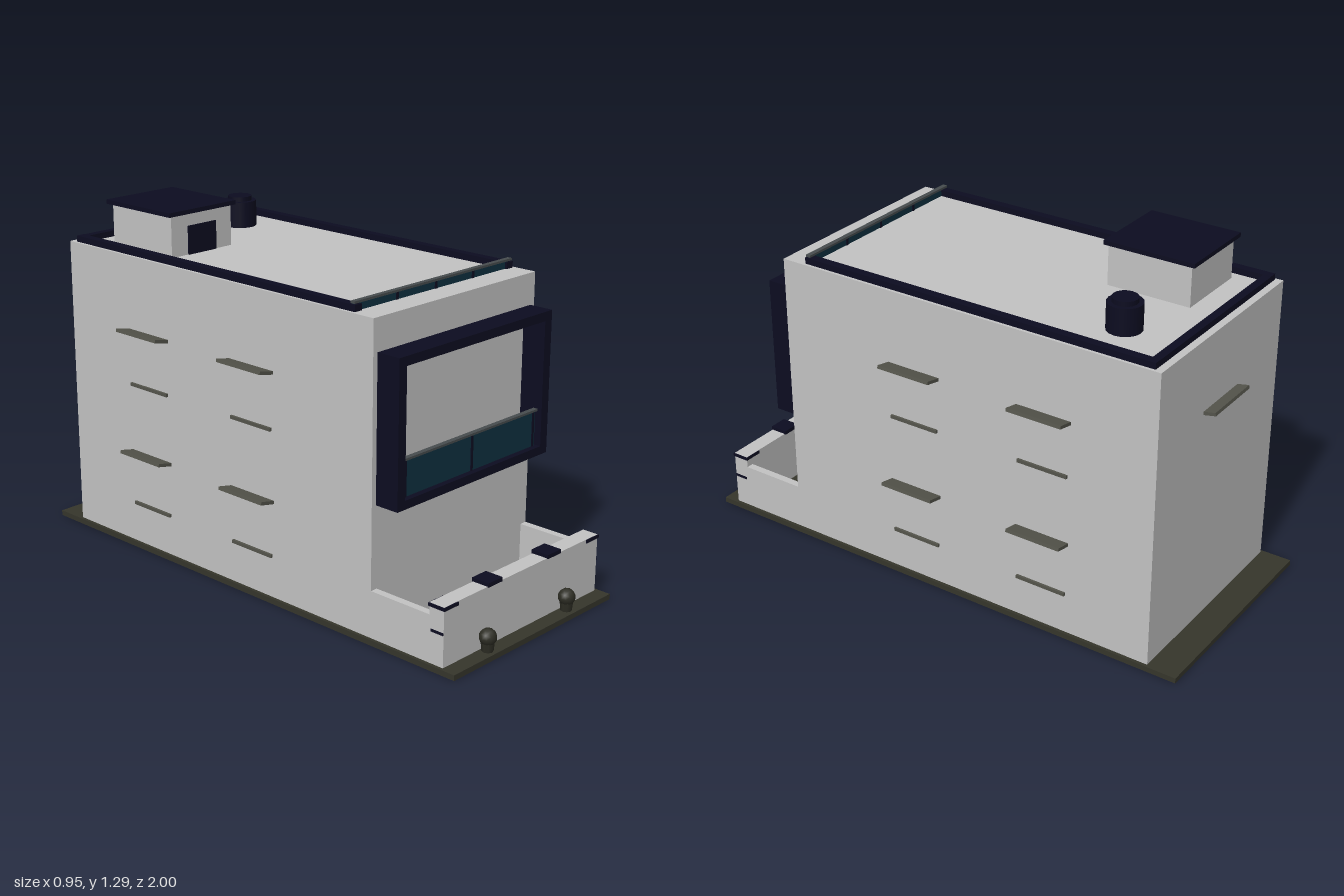
import * as THREE from 'three';

const mat = (name, color) => {
  const m = new THREE.MeshStandardMaterial({ color });
  m.name = name;
  return m;
};

export function createModel() {
  const wall = mat('pale plaster', 0xc2c2c2);
  const trim = mat('dark trim', 0x0c0c20);
  const glass = mat('tinted glass', 0x0f3040);
  const ground = mat('dark ground', 0x35352b);
  const concrete = mat('awning concrete', 0x54544b);
  const metal = mat('rail metal', 0x474c4e);
  const leaf = mat('foliage', 0x2d2d24);

  const model = new THREE.Group();
  model.name = 'house';

  const add = (name, geo, m, parent = model) => {
    const mesh = new THREE.Mesh(geo, m);
    mesh.name = name;
    parent.add(mesh);
    return mesh;
  };
  // box given by its min and max on each axis
  const box = (name, m, x0, x1, y0, y1, z0, z1, parent) => {
    const mesh = add(name, new THREE.BoxGeometry(x1 - x0, y1 - y0, z1 - z0), m, parent);
    mesh.position.set((x0 + x1) / 2, (y0 + y1) / 2, (z0 + z1) / 2);
    return mesh;
  };

  // plot and main volume
  box('basePlate', ground, -0.425, 0.425, 0, 0.02, -1, 1);
  box('mainBody', wall, -0.413, 0.413, 0.015, 1.12, -0.885, 0.63);

  // front yard walls with dark caps
  box('yardFrontWall', wall, -0.413, 0.413, 0.015, 0.233, 0.882, 0.943);
  for (const s of [-1, 1]) {
    const x = s * 0.399;
    box('yardSideWall', wall, x - 0.014, x + 0.014, 0.015, 0.19, 0.625, 0.885);
    box('cornerCap', trim, s * 0.381 - 0.035, s * 0.381 + 0.035, 0.22, 0.232, 0.879, 0.947);
    box('wallCap', trim, s * 0.159 - 0.036, s * 0.159 + 0.036, 0.231, 0.246, 0.877, 0.947);
    box('wallSlot', trim, s * 0.413 - 0.003, s * 0.413 + 0.003, 0.134, 0.143, 0.89, 0.942);
  }

  // shrubs in front of the yard wall
  for (const x of [-0.216, 0.213]) {
    const shrub = new THREE.Group();
    shrub.name = 'shrub';
    shrub.position.set(x, 0, 0.967);
    model.add(shrub);
    const pot = add('pot', new THREE.CylinderGeometry(0.024, 0.02, 0.04, 8), leaf, shrub);
    pot.position.y = 0.038;
    const crown = add('crown', new THREE.IcosahedronGeometry(0.031, 1), leaf, shrub);
    crown.position.y = 0.07;
  }

  // projecting balcony frame
  const frame = new THREE.Shape();
  frame.moveTo(-0.393, 0.487).lineTo(0.393, 0.487).lineTo(0.393, 1.005).lineTo(-0.393, 1.005).closePath();
  const hole = new THREE.Path();
  hole.moveTo(-0.357, 0.518).lineTo(-0.357, 0.972).lineTo(0.357, 0.972).lineTo(0.357, 0.518).closePath();
  frame.holes.push(hole);
  const frameMesh = add('balconyFrame',
    new THREE.ExtrudeGeometry(frame, { depth: 0.1, bevelEnabled: false }), trim);
  frameMesh.position.z = 0.623;

  // glazed railing: pane, posts and a handrail
  const railing = (name, half, y0, y1, z, posts, railHalf) => {
    const g = new THREE.Group();
    g.name = name;
    model.add(g);
    box('pane', glass, -half, half, y0, y1 - 0.006, z - 0.004, z + 0.004, g);
    box('handrail', metal, -railHalf, railHalf, y1 - 0.008, y1, z - 0.009, z + 0.009, g);
    for (const x of posts) box('post', trim, x - 0.005, x + 0.005, y0, y1 - 0.007, z - 0.007, z + 0.007, g);
  };
  railing('balconyRailing', 0.345, 0.52, 0.654, 0.7, [-0.337, 0, 0.333], 0.352);
  railing('roofRailing', 0.395, 1.119, 1.154, 0.528, [-0.385, -0.193, 0, 0.193, 0.385], 0.4);

  // roof parapet strips
  for (const s of [-1, 1]) {
    const x = s * 0.386;
    box('parapetSide', trim, x - 0.016, x + 0.016, 1.115, 1.143, -0.858, 0.54);
  }
  box('parapetBack', trim, -0.402, 0.402, 1.115, 1.142, -0.858, -0.828);

  // rooftop stair hut
  box('hutWalls', wall, -0.33, -0.043, 1.115, 1.272, -0.73, -0.412);
  box('hutRoof', trim, -0.347, -0.029, 1.27, 1.286, -0.746, -0.4);
  box('hutDoor', trim, -0.253, -0.12, 1.12, 1.225, -0.415, -0.407);

  // water tank
  const tank = add('waterTank', new THREE.CylinderGeometry(0.062, 0.062, 0.1, 16), trim);
  tank.position.set(0.212, 1.168, -0.632);
  const lid = add('tankLid', new THREE.CylinderGeometry(0.045, 0.045, 0.02, 16), trim);
  lid.position.set(0.212, 1.225, -0.632);

  // side awnings tilted upward, with window sills below
  for (const s of [-1, 1]) {
    for (const z of [0.072, -0.457]) {
      for (const y of [0.847, 0.382]) {
        const awning = add('awning', new THREE.BoxGeometry(0.075, 0.012, 0.213), concrete);
        awning.position.set(s * 0.437, y, z);
        awning.rotation.z = s * 0.2;
      }
      for (const y of [0.64, 0.176]) {
        box('windowSill', concrete, s * 0.413 - 0.009, s * 0.413 + 0.009, y - 0.006, y + 0.006, z - 0.098, z + 0.098);
      }
    }
  }

  // back awning
  const back = add('backAwning', new THREE.BoxGeometry(0.234, 0.012, 0.06), concrete);
  back.position.set(0, 0.849, -0.9);
  back.rotation.x = 0.2;

  return model;
}
